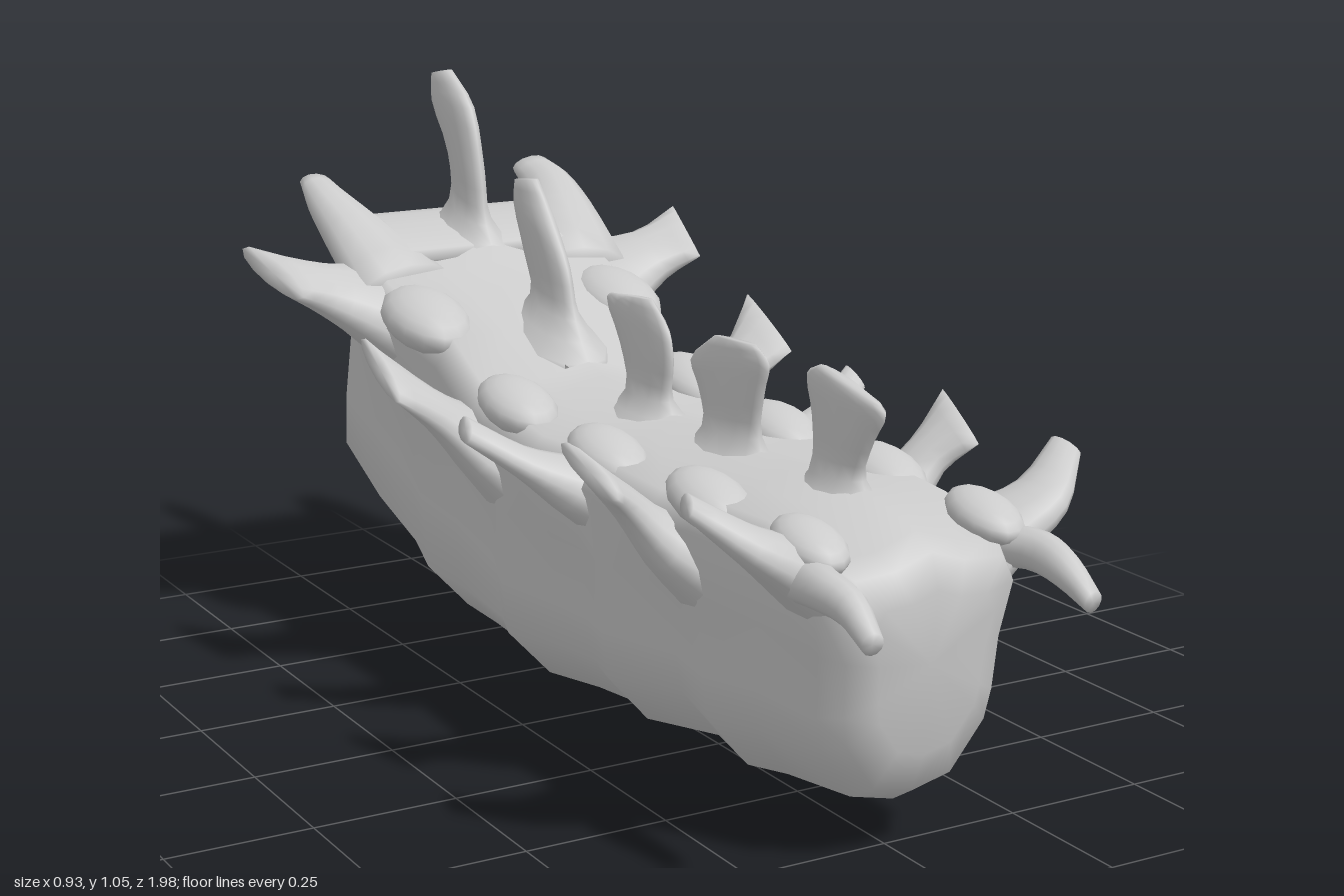
import * as THREE from 'three';

const V = (x, y, z) => new THREE.Vector3(x, y, z);
const material = new THREE.MeshStandardMaterial({ color: 0xcccccc });

// Closed skin over rings of points, with a fan at each end
function loft(rings) {
  const n = rings[0].length, pts = rings.flat(), index = [];
  for (let r = 0; r < rings.length - 1; r++) {
    for (let i = 0; i < n; i++) {
      const a = r * n + i, b = r * n + (i + 1) % n;
      index.push(a, b, a + n, b, b + n, a + n);
    }
  }
  const caps = [0, rings.length - 1].map((r) => {
    const c = V(0, 0, 0);
    rings[r].forEach((p) => c.addScaledVector(p, 1 / n));
    return pts.push(c) - 1;
  });
  const last = (rings.length - 1) * n;
  for (let i = 0; i < n; i++) {
    const j = (i + 1) % n;
    index.push(caps[0], j, i, caps[1], last + i, last + j);
  }
  // Turn the faces outward whichever way the rings run
  let volume = 0;
  const cross = V(0, 0, 0);
  for (let k = 0; k < index.length; k += 3) {
    volume += pts[index[k]].dot(cross.crossVectors(pts[index[k + 1]], pts[index[k + 2]]));
  }
  if (volume < 0) index.reverse();
  const geometry = new THREE.BufferGeometry().setFromPoints(pts);
  geometry.setIndex(index);
  geometry.computeVertexNormals();
  return geometry;
}

// Bony prong: elliptical rings [edge A, edge B, half thickness], smoothed along its length
function prongGeometry(rings, thickDir, side = 1) {
  const steps = (rings.length - 1) * 3;
  const edge = (k) => new THREE.CatmullRomCurve3(rings.map((r) => V(r[k][0] * side, r[k][1], r[k][2])));
  const a = edge(0), b = edge(1);
  const thick = new THREE.CatmullRomCurve3(rings.map((r, i) => V(r[2], i, 0)));
  const dir = V(thickDir[0] * side, thickDir[1], thickDir[2]).normalize();
  const out = [];
  for (let s = 0; s <= steps; s++) {
    const A = a.getPoint(s / steps), B = b.getPoint(s / steps), t = thick.getPoint(s / steps).x;
    const centre = A.clone().add(B).multiplyScalar(0.5), half = A.clone().sub(B).multiplyScalar(0.5);
    out.push(Array.from({ length: 12 }, (_, i) => {
      const q = (i / 12) * Math.PI * 2;
      return centre.clone().addScaledVector(half, Math.cos(q)).addScaledVector(dir, t * Math.sin(q));
    }));
  }
  return loft(out);
}

// Vertebral bodies: z at bottom, z at top, bottom, top, half width, half width at top
const SECTIONS = [
  [0.77, 0.81, 0.085, 0.5, 0.155, 0.18], [0.6, 0.66, 0.065, 0.53, 0.165, 0.195],
  [0.5, 0.5, 0.048, 0.53, 0.185, 0.215], [0.4, 0.4, 0.065, 0.52, 0.175, 0.235],
  [0.18, 0.2, 0.025, 0.52, 0.195, 0.225], [0.13, 0.12, 0.04, 0.52, 0.19, 0.225],
  [0, 0, 0.025, 0.52, 0.185, 0.24], [-0.17, -0.16, 0.003, 0.54, 0.205, 0.24],
  [-0.21, -0.22, 0.02, 0.555, 0.195, 0.24], [-0.4, -0.36, 0.03, 0.62, 0.19, 0.235],
  [-0.51, -0.48, 0.038, 0.66, 0.205, 0.26], [-0.56, -0.56, 0.075, 0.69, 0.205, 0.275],
  [-0.75, -0.66, 0.12, 0.73, 0.2, 0.265], [-0.94, -0.75, 0.19, 0.75, 0.195, 0.235],
];

function sectionRing([zb, zt, b, t, w, tw]) {
  const h = t - b;
  const half = [
    [0.52 * w, b + 0.02], [0.93 * w, b + 0.11], [w, b + 0.4 * h], [w * 1.03, b + 0.64 * h],
    [tw, t - 0.05], [tw * 0.85, t], [tw * 0.4, t + 0.005],
  ];
  const outline = [[0, b], ...half, [0, t + 0.03], ...half.map(([x, y]) => [-x, y]).reverse()];
  return outline.map(([x, y]) => V(x, y, zb + (zt - zb) * (y - b) / h));
}

// Inner ring that rounds off an end of the column
function endRing(ring, scale, bulge) {
  const c = V(0, 0, 0);
  ring.forEach((p) => c.addScaledVector(p, 1 / ring.length));
  return ring.map((p) => p.clone().lerp(c, 1 - scale).add(V(0, 0, bulge)));
}

// Upright spines: rows of front z, front y, back z, back y, half thickness
const SPINES = [
  [[0.74, 0.49, 0.45, 0.5, 0.1], [0.67, 0.57, 0.53, 0.56, 0.028], [0.7, 0.64, 0.53, 0.65, 0.02], [0.73, 0.69, 0.51, 0.71, 0.018], [0.66, 0.715, 0.55, 0.732, 0.01]],
  [[0.41, 0.49, 0.12, 0.49, 0.1], [0.37, 0.57, 0.2, 0.56, 0.028], [0.385, 0.65, 0.18, 0.62, 0.02], [0.4, 0.7, 0.15, 0.66, 0.018], [0.36, 0.725, 0.23, 0.718, 0.01]],
  [[0.14, 0.49, -0.13, 0.51, 0.1], [0.08, 0.57, -0.06, 0.57, 0.028], [0.09, 0.64, -0.09, 0.65, 0.02], [0.08, 0.69, -0.14, 0.72, 0.018], [0.02, 0.74, -0.08, 0.732, 0.01]],
  [[-0.18, 0.54, -0.5, 0.62, 0.11], [-0.26, 0.65, -0.42, 0.68, 0.032], [-0.29, 0.74, -0.45, 0.75, 0.024], [-0.35, 0.82, -0.49, 0.84, 0.024], [-0.41, 0.89, -0.49, 0.88, 0.014]],
  [[-0.54, 0.67, -0.83, 0.74, 0.11], [-0.62, 0.77, -0.76, 0.81, 0.032], [-0.64, 0.87, -0.77, 0.9, 0.025], [-0.68, 0.99, -0.84, 0.99, 0.025], [-0.77, 1.055, -0.845, 1.04, 0.014]],
];

// Transverse wings: front edge, back edge, half thickness
const WINGS = [
  [[[0.12, 0.42, 0.84], [0.12, 0.46, 0.6], 0.06], [[0.2, 0.48, 0.83], [0.2, 0.5, 0.68], 0.045], [[0.28, 0.53, 0.82], [0.26, 0.54, 0.72], 0.03], [[0.355, 0.59, 0.755], [0.34, 0.6, 0.7], 0.016]],
  [[[0.12, 0.36, 0.56], [0.12, 0.4, 0.3], 0.08], [[0.23, 0.44, 0.5], [0.23, 0.47, 0.37], 0.045], [[0.29, 0.51, 0.48], [0.29, 0.53, 0.39], 0.028], [[0.34, 0.55, 0.51], [0.365, 0.61, 0.37], 0.018]],
  [[[0.12, 0.4, 0.26], [0.12, 0.42, 0], 0.07], [[0.23, 0.46, 0.18], [0.23, 0.48, 0.06], 0.045], [[0.3, 0.5, 0.145], [0.3, 0.52, 0.075], 0.026], [[0.39, 0.56, 0.1], [0.385, 0.58, 0.05], 0.018]],
  [[[0.12, 0.34, -0.07], [0.12, 0.42, -0.4], 0.09], [[0.24, 0.44, -0.14], [0.24, 0.5, -0.31], 0.05], [[0.31, 0.51, -0.165], [0.31, 0.55, -0.26], 0.032], [[0.4, 0.57, -0.155], [0.4, 0.65, -0.315], 0.018]],
  [[[0.15, 0.54, -0.42], [0.15, 0.64, -0.84], 0.1], [[0.26, 0.61, -0.5], [0.26, 0.68, -0.74], 0.065], [[0.35, 0.66, -0.54], [0.35, 0.71, -0.66], 0.04], [[0.42, 0.69, -0.525], [0.465, 0.755, -0.705], 0.022]],
];

// Articular prongs at the two ends: inner edge, outer edge, half thickness
const FRONT_PRONG = [[[0.12, 0.47, 0.76], [0.22, 0.47, 0.76], 0.04], [[0.16, 0.48, 0.86], [0.23, 0.48, 0.86], 0.033], [[0.165, 0.47, 0.93], [0.22, 0.47, 0.93], 0.028], [[0.18, 0.435, 0.995], [0.215, 0.435, 0.99], 0.018]];
const REAR_PRONG = [[[0.08, 0.67, -0.6], [0.29, 0.66, -0.58], 0.06], [[0.15, 0.75, -0.75], [0.29, 0.76, -0.73], 0.05], [[0.19, 0.8, -0.83], [0.285, 0.81, -0.82], 0.036], [[0.2, 0.83, -0.9], [0.27, 0.84, -0.89], 0.02]];

// Rear roof plate joining the last prongs
const REAR_ROOF = [-0.24, -0.12, 0, 0.12, 0.24].map((x) => [[x, 0.72, -0.6], [x, 0.765, -0.84], 0.03]);

// Facet joints between neighbours: x, y, z, scale
const FACETS = [[0.16, 0.52, 0.77, 0.8], [0.165, 0.52, 0.49, 0.95], [0.17, 0.52, 0.17, 0.95], [0.18, 0.54, -0.14, 1], [0.2, 0.635, -0.47, 1.2]];

export function createModel() {
  const model = new THREE.Group();
  const add = (name, geometry, parent = model) => {
    const mesh = new THREE.Mesh(geometry, material);
    mesh.name = name;
    parent.add(mesh);
    return mesh;
  };

  // Column of fused vertebral bodies
  const rings = SECTIONS.map(sectionRing);
  const front = rings[0], back = rings[rings.length - 1];
  add('vertebralColumn', loft([
    endRing(front, 0.6, 0.07), endRing(front, 0.88, 0.045), ...rings,
    endRing(back, 0.88, -0.05), endRing(back, 0.6, -0.085),
  ]));
  add('rearRoof', prongGeometry(REAR_ROOF, [0, 1, 0.2]));

  // Spine, wings and facet joints of each vertebra
  SPINES.forEach((rows, i) => {
    const vertebra = new THREE.Group();
    vertebra.name = `vertebra${i + 1}`;
    model.add(vertebra);
    const spine = rows.map(([zf, yf, zb, yb, t]) => [[0, yf, zf], [0, yb, zb], t]);
    add('uprightSpine', prongGeometry(spine, [1, 0, 0]), vertebra);
    for (const side of [1, -1]) {
      const label = side > 0 ? 'left' : 'right';
      add(label + 'TransverseWing', prongGeometry(WINGS[i], [-0.55, 1, 0], side), vertebra);
      const [x, y, z, s] = FACETS[i];
      const facet = add(label + 'FacetJoint', new THREE.SphereGeometry(0.05, 14, 10), vertebra);
      facet.position.set(x * side, y, z);
      facet.scale.set(1.3 * s, 0.8 * s, 2 * s);
      facet.rotation.x = 0.25;
    }
  });

  // Articular prongs
  for (const side of [1, -1]) {
    const label = side > 0 ? 'left' : 'right';
    add(label + 'FrontProng', prongGeometry(FRONT_PRONG, [0, 1, 0.2], side));
    add(label + 'RearProng', prongGeometry(REAR_PRONG, [0, 1, 0.4], side));
  }
  return model;
}
